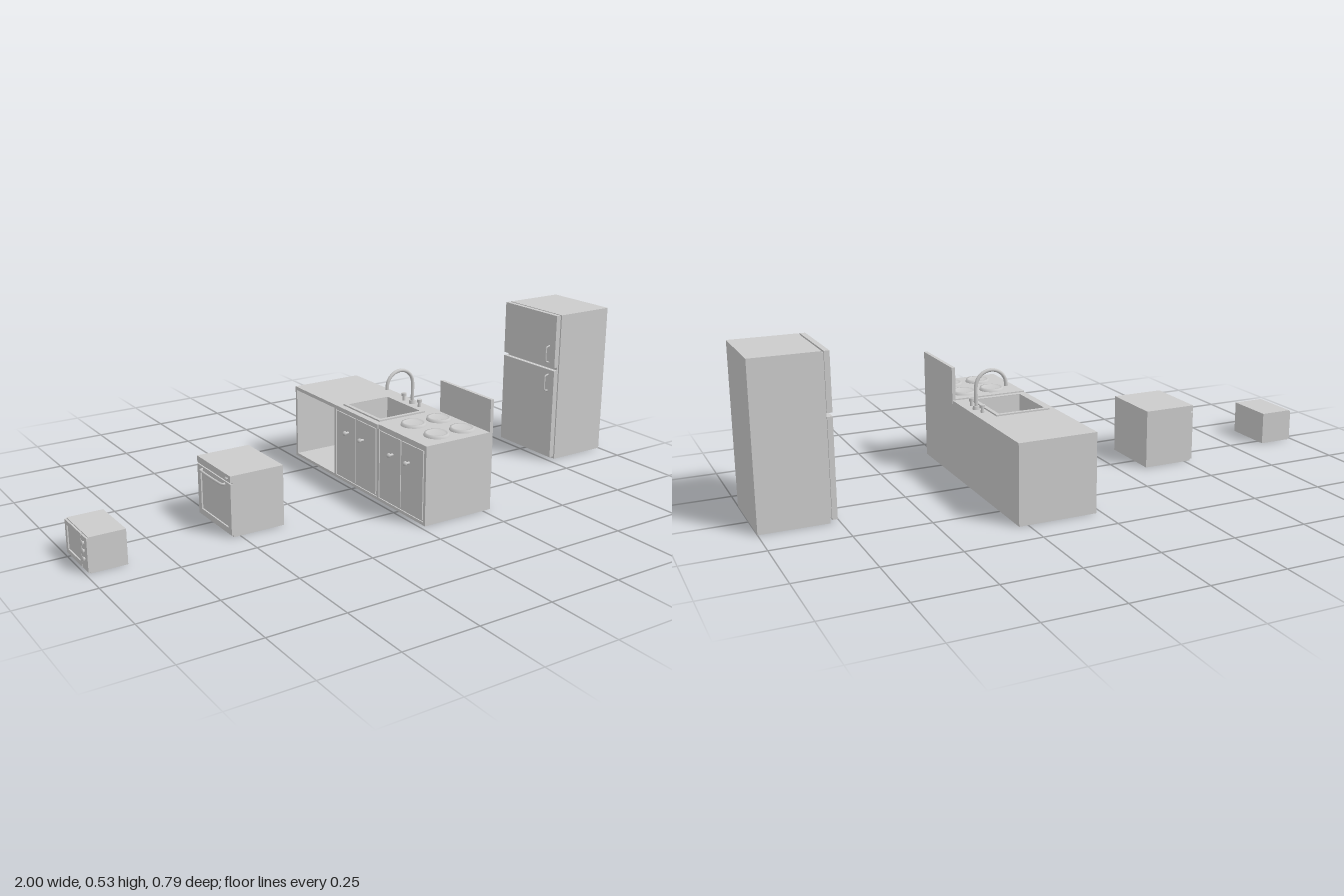
import * as THREE from 'three';

const material = new THREE.MeshStandardMaterial({ color: 0xcccccc, side: THREE.DoubleSide });

function add(parent, name, geometry, x = 0, y = 0, z = 0) {
  const mesh = new THREE.Mesh(geometry, material);
  mesh.name = name;
  mesh.position.set(x, y, z);
  parent.add(mesh);
  return mesh;
}

// Box given by its limits on each axis
function box(parent, name, [x0, x1], [y0, y1], [z0, z1]) {
  return add(parent, name, new THREE.BoxGeometry(x1 - x0, y1 - y0, z1 - z0),
    (x0 + x1) / 2, (y0 + y1) / 2, (z0 + z1) / 2);
}

function group(parent, name) {
  const g = new THREE.Group();
  g.name = name;
  parent.add(g);
  return g;
}

// Rectangular frame lying on a plane facing -x
function frame(parent, name, x, y, z, t) {
  box(parent, name, x, [y[0], y[0] + t], z);
  box(parent, name, x, [y[1] - t, y[1]], z);
  box(parent, name, x, [y[0] + t, y[1] - t], [z[0], z[0] + t]);
  box(parent, name, x, [y[0] + t, y[1] - t], [z[1] - t, z[1]]);
}

// Round knob pointing to -x: thin stem and rounded head
function knob(parent, name, x, y, z, r, length) {
  const profile = [[0, 0], [r * 0.5, 0], [r * 0.5, length * 0.5], [r, length * 0.6], [r * 0.9, length * 0.9], [0, length]];
  const geometry = new THREE.LatheGeometry(profile.map(p => new THREE.Vector2(...p)), 16);
  geometry.rotateZ(Math.PI / 2);
  add(parent, name, geometry, x, y, z);
}

function tube(parent, name, points, r, segments = 24) {
  const curve = new THREE.CatmullRomCurve3(points.map(p => new THREE.Vector3(...p)), false, 'centripetal');
  add(parent, name, new THREE.TubeGeometry(curve, segments, r, 10), 0, 0, 0);
}

function rectangle(Type, x0, x1, z0, z1) {
  return new Type([[x0, -z0], [x0, -z1], [x1, -z1], [x1, -z0]].map(p => new THREE.Vector2(...p)));
}

// Horizontal slab with a rectangular hole
function slab(parent, name, outer, inner, y0, y1) {
  const shape = rectangle(THREE.Shape, ...outer);
  shape.holes.push(rectangle(THREE.Path, ...inner));
  const geometry = new THREE.ExtrudeGeometry(shape, { depth: y1 - y0, bevelEnabled: false });
  geometry.rotateX(-Math.PI / 2);
  add(parent, name, geometry, 0, y0, 0);
}

function buildFridge(root) {
  const g = group(root, 'fridge');
  box(g, 'fridgeBody', [0.78, 1], [0, 0.533], [-0.12, 0.152]);
  box(g, 'fridgeSeal', [0.774, 0.78], [0.016, 0.527], [-0.115, 0.147]);
  box(g, 'fridgeDoor', [0.757, 0.774], [0.01, 0.333], [-0.12, 0.152]);
  box(g, 'freezerDoor', [0.757, 0.774], [0.345, 0.533], [-0.12, 0.152]);
  for (const y of [0.255, 0.36]) {
    tube(g, 'doorHandle', [[0.758, y, 0.122], [0.744, y + 0.004, 0.122], [0.742, y + 0.012, 0.122],
      [0.742, y + 0.048, 0.122], [0.744, y + 0.056, 0.122], [0.758, y + 0.06, 0.122]], 0.003);
  }
}

function buildCounter(root) {
  const g = group(root, 'kitchenCounter');
  const x = [0.018, 0.28];
  // Carcass panels, leaving an open bay at the back end
  box(g, 'counterFloor', x, [0, 0.01], [-0.395, 0.395]);
  box(g, 'counterBack', [0.27, 0.28], [0.01, 0.25], [-0.395, 0.395]);
  for (const z of [-0.395, -0.134, 0.128, 0.385]) {
    box(g, 'counterDivider', [0.018, 0.27], [0.01, 0.25], [z, z + 0.01]);
  }
  // Cabinet fronts with double doors and knobs
  for (const z of [0, 0.261]) {
    box(g, 'cabinetFront', [0.022, 0.03], [0.01, 0.25], [z - 0.124, z + 0.124]);
    for (const s of [-1, 1]) {
      const a = z + s * 0.002, b = z + s * 0.118;
      box(g, 'cabinetDoor', [0.018, 0.022], [0.016, 0.245], [Math.min(a, b), Math.max(a, b)]);
      knob(g, 'cabinetKnob', 0.018, 0.185, z + s * 0.045, 0.008, 0.022);
    }
  }
  // Worktop with the sink cut-out
  const well = [0.052, 0.212, -0.095, 0.095];
  slab(g, 'worktop', [0.018, 0.28, -0.395, 0.129], well, 0.25, 0.262);
  slab(g, 'sinkRim', [0.039, 0.225, -0.108, 0.108], well, 0.262, 0.267);
  // Sink basin: upright walls and a shallow funnel floor
  const cx = 0.132, w = 0.16, d = 0.19;
  for (const [name, top, bottom, y0, y1] of [['sinkWalls', 1, 0.97, 0.19, 0.264], ['sinkFloor', 0.97, 0.08, 0.175, 0.19]]) {
    const geometry = new THREE.CylinderGeometry(top * Math.SQRT1_2, bottom * Math.SQRT1_2, y1 - y0, 4, 1, true)
      .rotateY(Math.PI / 4).scale(w, 1, d).toNonIndexed();
    geometry.computeVertexNormals();
    add(g, name, geometry, cx, (y0 + y1) / 2, 0);
  }
  add(g, 'sinkDrain', new THREE.CylinderGeometry(0.012, 0.012, 0.004, 16), cx, 0.177, 0);
  // Arched tap with two turning knobs
  const arch = [[0.25, 0.262, 0], [0.25, 0.3, 0], [0.25, 0.335, 0]];
  for (let i = 1; i <= 8; i++) {
    const a = i / 8 * Math.PI;
    arch.push([0.197 + 0.053 * Math.cos(a), 0.335 + 0.052 * Math.sin(a), 0]);
  }
  arch.push([0.144, 0.328, 0]);
  tube(g, 'tap', arch, 0.006, 48);
  add(g, 'tapBase', new THREE.CylinderGeometry(0.01, 0.012, 0.012, 16), 0.25, 0.268, 0);
  for (const z of [-0.045, 0.045]) {
    add(g, 'tapKnobStem', new THREE.CylinderGeometry(0.005, 0.006, 0.016, 12), 0.247, 0.27, z);
    add(g, 'tapKnob', new THREE.CylinderGeometry(0.009, 0.009, 0.01, 16), 0.247, 0.283, z);
  }
  // Hob, splashback and burners
  box(g, 'hobTop', x, [0.25, 0.265], [0.133, 0.395]);
  box(g, 'splashback', [0.268, 0.28], [0.265, 0.373], [0.133, 0.395]);
  for (const bx of [0.11, 0.212]) for (const bz of [0.2, 0.324]) {
    const profile = [[0, 0.005], [0.03, 0.005], [0.032, 0.009], [0.039, 0.009], [0.042, 0]];
    add(g, 'burner', new THREE.LatheGeometry(profile.map(p => new THREE.Vector2(...p)), 28), bx, 0.265, bz);
  }
}

function buildOven(root) {
  const g = group(root, 'oven');
  box(g, 'ovenBody', [-0.522, -0.345], [0, 0.2], [-0.082, 0.143]);
  box(g, 'ovenControlPanel', [-0.529, -0.522], [0.178, 0.2], [-0.082, 0.143]);
  frame(g, 'ovenDoorFrame', [-0.529, -0.522], [0.006, 0.174], [-0.082, 0.143], 0.02);
  box(g, 'ovenWindow', [-0.524, -0.522], [0.026, 0.154], [-0.062, 0.123]);
  tube(g, 'ovenHandle', [[-0.526, 0.165, -0.045], [-0.538, 0.165, -0.043], [-0.54, 0.165, -0.035],
    [-0.54, 0.165, 0.097], [-0.538, 0.165, 0.105], [-0.526, 0.165, 0.107]], 0.004);
  knob(g, 'ovenKnob', -0.529, 0.189, 0.125, 0.006, 0.009);
}

function buildMicrowave(root) {
  const g = group(root, 'microwave');
  box(g, 'microwaveBody', [-0.985, -0.87], [0, 0.112], [-0.028, 0.147]);
  frame(g, 'microwaveDoorFrame', [-0.991, -0.985], [0.003, 0.109], [-0.028, 0.1], 0.014);
  box(g, 'microwaveWindow', [-0.987, -0.985], [0.017, 0.095], [-0.014, 0.086]);
  box(g, 'microwaveControlPanel', [-0.991, -0.985], [0.003, 0.109], [0.103, 0.147]);
  for (const y of [0.04, 0.065, 0.09]) knob(g, 'microwaveKnob', -0.991, y, 0.125, 0.009, 0.009);
}

export function createModel() {
  const root = new THREE.Group();
  root.name = 'kitchenSet';
  buildFridge(root);
  buildCounter(root);
  buildOven(root);
  buildMicrowave(root);
  return root;
}
